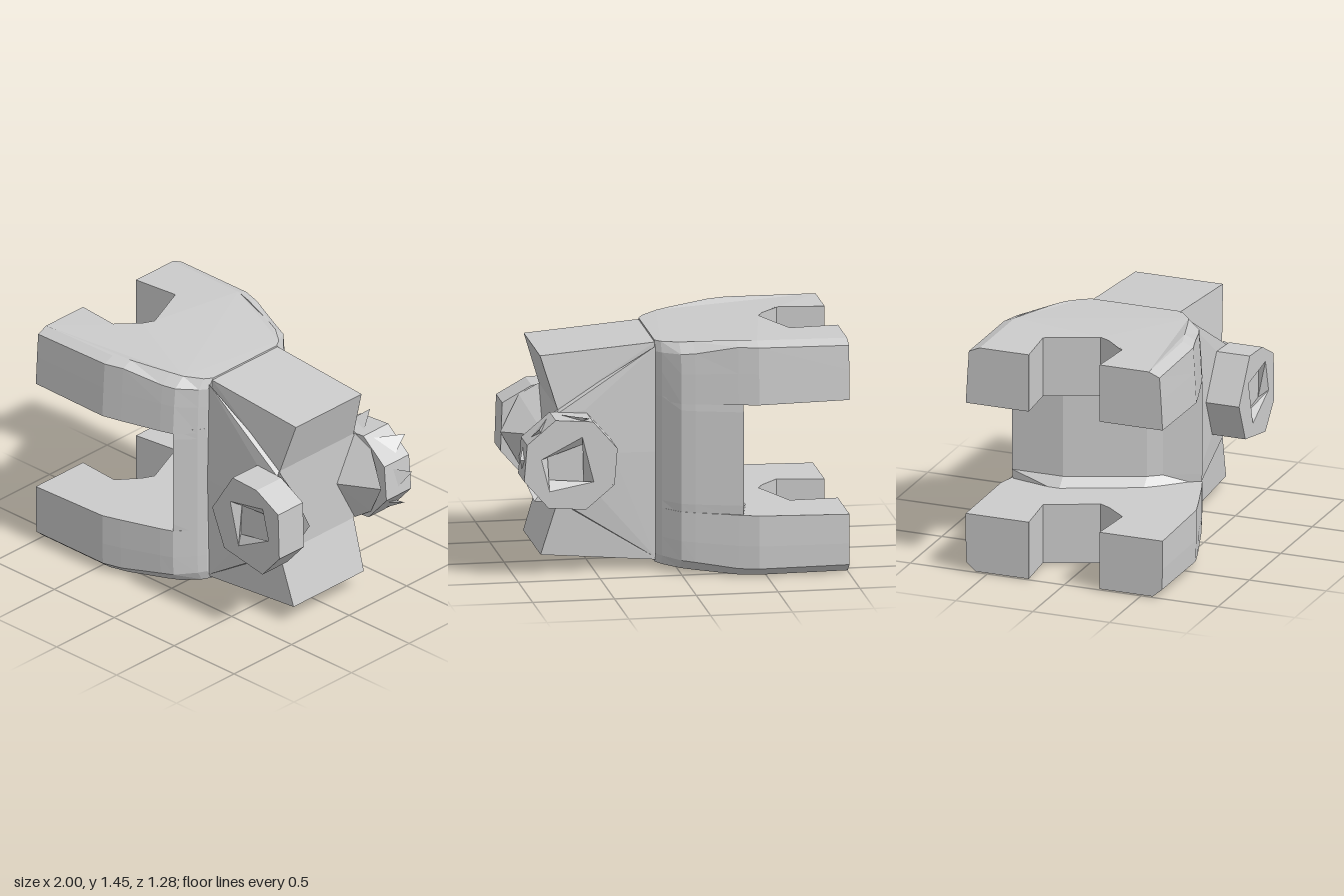
import * as THREE from 'three';
import { ConvexGeometry } from 'three/addons/geometries/ConvexGeometry.js';

const material = new THREE.MeshStandardMaterial({ color: 0xcccccc, flatShading: true });

function addMesh(parent, name, geometry) {
  const mesh = new THREE.Mesh(geometry, material);
  mesh.name = name;
  parent.add(mesh);
  return mesh;
}

const points = list => list.map(([x, y]) => new THREE.Vector2(x, y));

// Extrude an outline, then move each vertex by a rule
function extrude(outline, depth, steps, rule, hole) {
  const shape = new THREE.Shape(points(outline));
  if (hole) shape.holes.push(new THREE.Path(points(hole)));
  const geometry = new THREE.ExtrudeGeometry(shape, { depth, steps, bevelEnabled: false });
  const position = geometry.attributes.position;
  const v = new THREE.Vector3();
  for (let i = 0; i < position.count; i++) {
    rule(v.fromBufferAttribute(position, i));
    position.setXYZ(i, v.x, v.y, v.z);
  }
  geometry.computeVertexNormals();
  return geometry;
}

// Plan outlines, drawn as (x, -z)
const forkSide = [[-1, 0.64], [-0.45, 0.635], [-0.33, 0.6], [-0.08, 0.52], [0, 0.49], [0.1, 0.38], [0.13, 0.33]];
const mirrorY = list => list.map(([x, y]) => [x, -y]).reverse();
const forkPlan = [
  ...forkSide, ...mirrorY(forkSide),
  [-1, -0.23], [-0.71, -0.26], [-0.6, -0.13], [-0.565, -0.06], [-0.7, 0.26], [-1, 0.23],
];
// The web reaches further along the fork at the rear than at the front
const webPlan = [
  [-0.36, 0.27], [-0.36, 0.6], [-0.08, 0.52], [0, 0.49], [0.1, 0.38], [0.13, 0.33],
  [0.13, -0.33], [0.1, -0.38], [0, -0.49], [-0.11, -0.28], [-0.17, -0.2],
];

// Forked plate with a chamfered outer rim; layer 0 is the inner face
function forkPlate(upper) {
  const insets = upper ? [0, 0.01, 0.02, 0.09] : [0, 0, 0.005, 0.065];
  const geometry = extrude(forkPlan, 3, 3, v => {
    const layer = Math.round(upper ? v.z : 3 - v.z);
    const rim = Math.abs(v.y) > 0.3;
    const crown = 0.01 * Math.max(0, -v.x - 0.4) + 0.09 * Math.max(0, v.x + 0.3);
    const inner = 1.08 - 0.02 * (v.x + 1);
    const outer = 1.45 - crown;
    const drop = v.x > -0.1 ? 0.06 : upper ? 0.03 : 0.05;
    const heights = [inner, (inner + outer) / 2, outer - drop, outer];
    // The rim narrows less where it meets the block
    if (rim) v.y -= Math.sign(v.y) * insets[layer] * (v.x > 0 ? 0.6 : 1);
    v.z = upper ? heights[layer] : 1.45 - heights[layer];
  });
  return geometry.rotateX(-Math.PI / 2);
}

// Upright web, flared on the fork side where it meets the plates
function webGeometry() {
  const heights = [0.365, 0.44, 1.02, 1.085];
  const geometry = extrude(webPlan, 3, 3, v => {
    const layer = Math.round(v.z);
    if (v.x < -0.1 && Math.abs(v.y) < 0.4 && layer % 3 === 0) v.x -= 0.07;
    // Keep the ends inside the plates
    if (layer % 3 === 0 && Math.abs(v.y) > 0.4) v.y *= 0.99;
    v.z = heights[layer];
  });
  return geometry.rotateX(-Math.PI / 2);
}

// Nut outlines around the bolt axis
const AXIS = [0.69, 0.73];
const frontOutline = [[0.4, 0.74], [0.5, 0.5], [0.82, 0.44], [0.96, 0.6], [0.95, 0.9], [0.77, 1.0], [0.57, 1.01]];
const rearOutline = Array.from({ length: 8 }, (_, i) => {
  const a = (i + 0.4) * Math.PI / 4;
  return [AXIS[0] + 0.3 * Math.cos(a), AXIS[1] + 0.295 * Math.sin(a)];
});
const socket = [[0.55, 0.84], [0.82, 0.89], [0.87, 0.69], [0.62, 0.56]];

function createNut(name, outline) {
  const nut = new THREE.Group();
  nut.name = name;
  // Solid base, then a front ring with a shallow, twisted socket
  addMesh(nut, 'nutBase', extrude(outline, 0.165, 1, v => { v.z += 0.35; }));
  addMesh(nut, 'nutRing', extrude(outline, 0.05, 1, v => {
    const dx = v.x - AXIS[0], dy = v.y - AXIS[1];
    if (Math.hypot(dx, dy) < 0.22 && v.z < 0.01) {
      const c = Math.cos(0.3) * 0.85, s = Math.sin(0.3) * 0.85;
      v.x = AXIS[0] + dx * c + dy * s;
      v.y = AXIS[1] - dx * s + dy * c;
    }
    v.z += 0.515;
  }, socket));
  return nut;
}

const hull = (corners, side) => new ConvexGeometry(corners.map(([x, y, z]) => new THREE.Vector3(x, y, z * side)));

// Boss that fans from the block's end out to the nut
const bossCorners = [[0.73, 1.02, 0.33], [0.85, 0.95, 0.345], [0.97, 0.73, 0.31], [0.85, 0.52, 0.345],
  [0.73, 0.44, 0.33], [0.72, 0.73, 0.17], [0.7, 0.73, 0.35]];
// Pad that swells from the block's side up to the nut
const padCorners = [[0.13, 1.38, 0.31], [0.13, 0.07, 0.31], [0.13, 0.73, 0.325], [0.4, 0.74, 0.35],
  [0.5, 0.5, 0.35], [0.57, 1.01, 0.35], [0.73, 1.0, 0.35], [0.73, 0.46, 0.35], [0.73, 1.02, 0.3], [0.73, 0.44, 0.3]];

// Thin shard leaning outward along the rim of the rear nut
function createShard(angle, tipRadius, tipZ) {
  const at = (a, r, z) => new THREE.Vector3(AXIS[0] + r * Math.cos(a), AXIS[1] + r * Math.sin(a), z);
  return new ConvexGeometry([
    at(angle - 0.45, 0.28, -0.36), at(angle + 0.45, 0.28, -0.36),
    at(angle, 0.18, -0.42), at(angle + 0.12, tipRadius, tipZ),
  ]);
}

export function createModel() {
  const model = new THREE.Group();
  model.name = 'forkedJoint';

  // Upper and lower fork plates joined by a vertical web
  addMesh(model, 'upperFork', forkPlate(true));
  addMesh(model, 'lowerFork', forkPlate(false));
  addMesh(model, 'web', webGeometry());

  // Block with a notched end, narrowest at the top
  const blockOutline = [[0.08, 0.05], [0.13, 0.055], [0.83, 0.115], [0.73, 0.44], [0.73, 1.02],
    [0.83, 1.345], [0.13, 1.4], [0.08, 1.4]];
  addMesh(model, 'block', extrude(blockOutline, 2, 1, v => {
    const half = v.y > 1.2 ? 0.285 : v.y < 0.2 ? 0.305 : 0.32;
    v.z = (v.z - 1) * half;
  }));

  // Pads, bosses and nuts on both sides
  for (const side of [1, -1]) {
    const place = side > 0 ? 'front' : 'rear';
    addMesh(model, place + 'Pad', hull(padCorners, side));
    addMesh(model, place + 'Boss', hull(bossCorners, side));
  }
  model.add(createNut('frontNut', frontOutline));
  const rear = createNut('rearNut', rearOutline);
  rear.rotation.x = Math.PI;
  rear.position.y = 2 * AXIS[1];
  model.add(rear);

  // Jagged shards around the rear nut
  const shards = [[0, 0.31, -0.55], [0.75, 0.31, -0.6], [1.75, 0.31, -0.6], [3.5, 0.29, -0.57], [5.4, 0.31, -0.57]];
  for (const shard of shards) addMesh(model, 'rearShard', createShard(...shard));

  return model;
}
